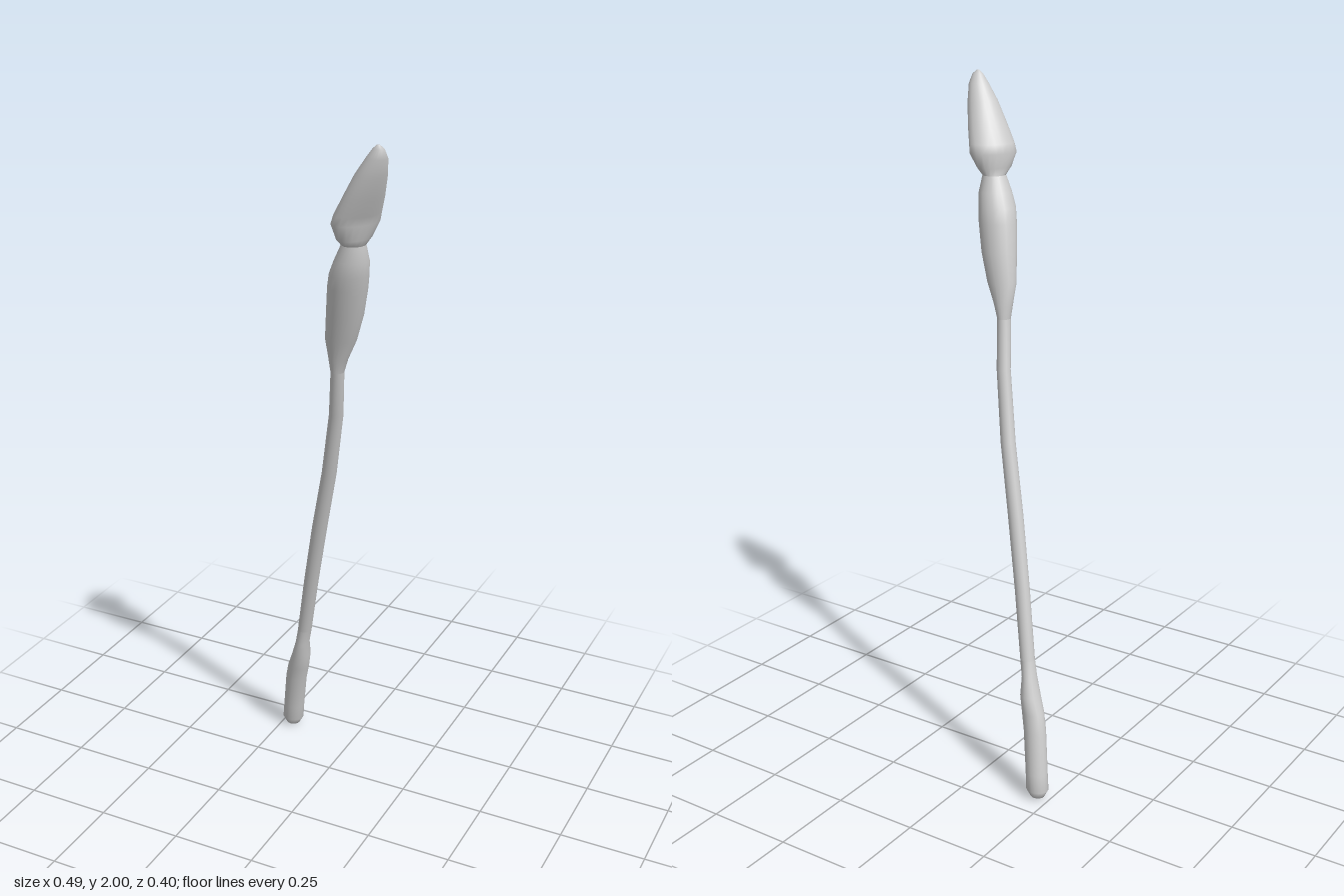
import * as THREE from 'three';

const SIDES = 20;

// Each ring: [y, xMin, xMax, zMin, zMax, skew]; skew < 0 widens it across the lean
const BUTT = [
  [0.0, -0.218, -0.212, -0.178, -0.172, 0],
  [0.008, -0.235, -0.193, -0.192, -0.153, 0],
  [0.03, -0.246, -0.18, -0.202, -0.142, 0],
  [0.08, -0.239, -0.174, -0.196, -0.136, 0],
  [0.2, -0.22, -0.154, -0.176, -0.116, 0],
  [0.25, -0.207, -0.14, -0.164, -0.107, 0],
  [0.3, -0.188, -0.132, -0.161, -0.097, 0],
  [0.35, -0.171, -0.13, -0.145, -0.094, 0],
  [0.4, -0.16, -0.118, -0.133, -0.091, 0],
];
const SHAFT = [
  BUTT[8],
  [0.6, -0.12, -0.076, -0.099, -0.058, 0],
  [0.8, -0.076, -0.031, -0.066, -0.024, 0],
  [1.0, -0.027, 0.016, -0.032, 0.01, 0],
  [1.2, 0.014, 0.055, 0.008, 0.045, 0],
  [1.34, 0.033, 0.07, 0.033, 0.075, 0],
];
const COLLAR = [
  SHAFT[5],
  [1.38, 0.03, 0.083, 0.033, 0.085, -0.05],
  [1.44, 0.026, 0.112, 0.037, 0.102, -0.1],
  [1.52, 0.038, 0.138, 0.042, 0.127, -0.1],
  [1.6, 0.05, 0.156, 0.053, 0.148, -0.1],
  [1.64, 0.06, 0.163, 0.062, 0.158, -0.1],
  [1.68, 0.078, 0.168, 0.075, 0.162, -0.1],
  [1.725, 0.1, 0.162, 0.092, 0.158, -0.1],
];
const HEAD = [
  COLLAR[7],
  [1.745, 0.097, 0.175, 0.085, 0.182, -0.3],
  [1.785, 0.086, 0.191, 0.071, 0.192, -0.44],
  [1.81, 0.095, 0.199, 0.079, 0.195, -0.4],
  [1.86, 0.122, 0.217, 0.099, 0.2, -0.3],
  [1.92, 0.156, 0.234, 0.125, 0.202, -0.2],
  [1.965, 0.187, 0.242, 0.148, 0.198, -0.1],
  [1.99, 0.206, 0.237, 0.166, 0.192, 0],
  [2.0, 0.217, 0.225, 0.177, 0.183, 0],
];

// Loft a skin through elliptical rings, optionally closing either end
function loft(rings, capStart, capEnd) {
  const pos = [], idx = [];
  for (const [y, x0, x1, z0, z1, skew] of rings) {
    const phase = Math.acos(skew);
    for (let i = 0; i < SIDES; i++) {
      const t = (i / SIDES) * Math.PI * 2;
      pos.push(
        (x0 + x1) / 2 + ((x1 - x0) / 2) * Math.cos(t),
        y,
        (z0 + z1) / 2 + ((z1 - z0) / 2) * Math.cos(t - phase)
      );
    }
  }
  for (let r = 0; r < rings.length - 1; r++) {
    for (let i = 0; i < SIDES; i++) {
      const a = r * SIDES + i, b = r * SIDES + ((i + 1) % SIDES);
      idx.push(a, a + SIDES, b, b, a + SIDES, b + SIDES);
    }
  }
  const last = (rings.length - 1) * SIDES;
  for (let i = 1; i < SIDES - 1; i++) {
    if (capStart) idx.push(0, i, i + 1);
    if (capEnd) idx.push(last, last + i + 1, last + i);
  }
  const geo = new THREE.BufferGeometry();
  geo.setAttribute('position', new THREE.Float32BufferAttribute(pos, 3));
  geo.setIndex(idx);
  geo.computeVertexNormals();
  return geo;
}

export function createModel() {
  const group = new THREE.Group();
  group.name = 'spear';
  const material = new THREE.MeshStandardMaterial({ color: 0xcccccc });
  const add = (name, rings, capStart = false, capEnd = false) => {
    const mesh = new THREE.Mesh(loft(rings, capStart, capEnd), material);
    mesh.name = name;
    group.add(mesh);
  };

  add('butt', BUTT, true, false);       // rounded grip end
  add('shaft', SHAFT);                  // slender leaning pole
  add('collar', COLLAR);                // swollen binding below the point
  add('spearhead', HEAD, false, true);  // barbed, tapering point
  return group;
}
